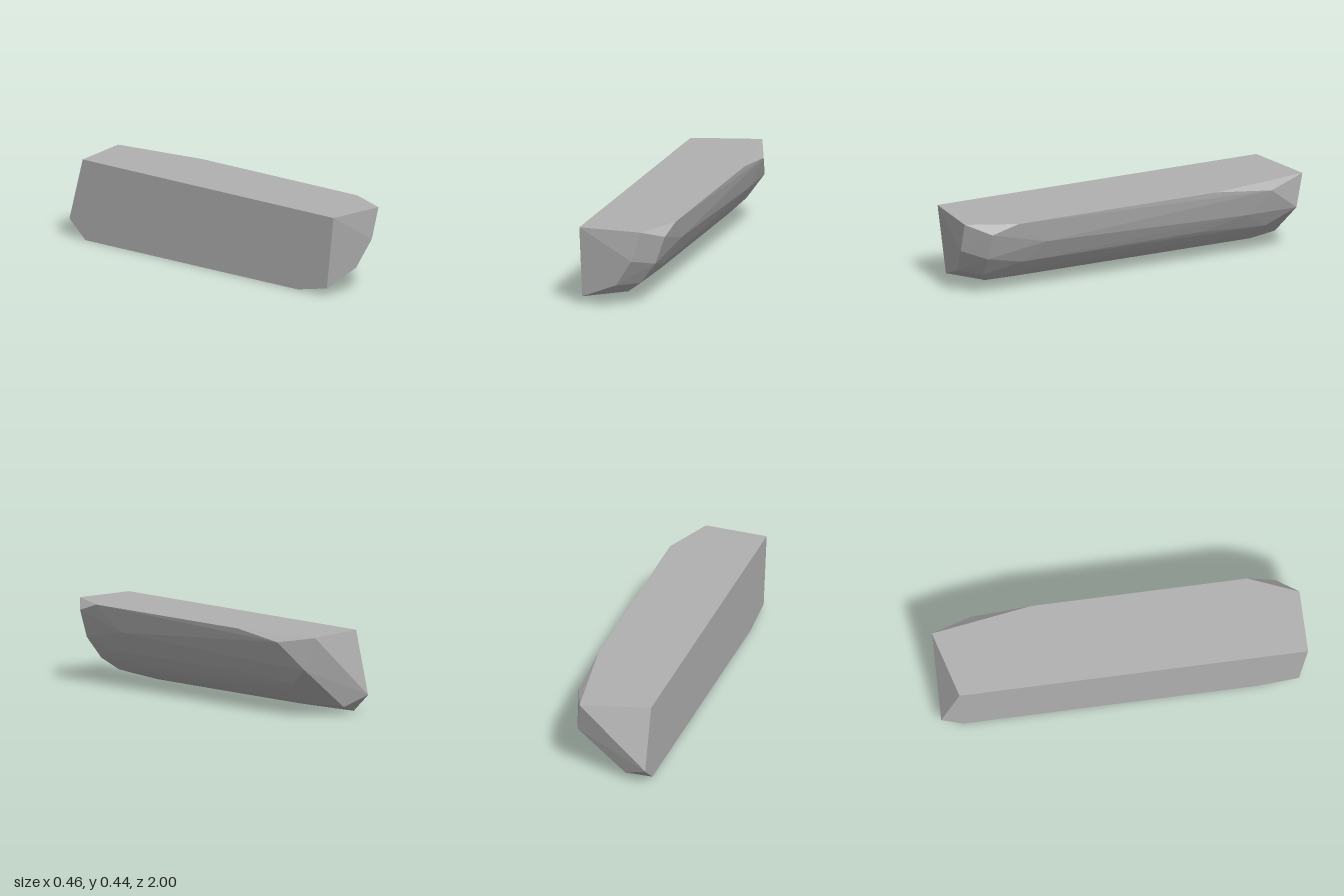
import * as THREE from 'three';
import { ConvexGeometry } from 'three/addons/geometries/ConvexGeometry.js';

// Quarter-round chunk: flat top and inner side, rounded outer side, chipped ends
const X = -0.23, TOP = 0.445, R = 0.459;
// Point on the rounded side at height y
const arc = (y, z) => [X + Math.sqrt(R * R - (0.46 - y) ** 2), y, z];

export function createModel() {
  const group = new THREE.Group();
  const stone = new THREE.MeshStandardMaterial({ color: 0xb0b0b0 });

  const frontFace = [
    [X, TOP, 1], [0.117, TOP, 1], [0.066, 0.277, 1], [-0.03, 0.13, 0.975], [X, 0.045, 0.95],
  ];
  const frontBevel = [
    [0.217, 0.398, 0.88], [0.165, 0.245, 0.885], [0.075, 0.125, 0.87],
    [-0.01, 0.058, 0.82], [X, 0.002, 0.73],
  ];
  // Long facets of the rounded side
  const roundedSide = [
    [0.229, TOP, 0.73], [0.229, TOP, -0.45], arc(0.405, -0.78),
    arc(0.31, 0.55), arc(0.27, -0.65), arc(0.19, 0.67), arc(0.2, -0.4),
    arc(0.17, -0.79), arc(0.12, 0.55), arc(0.12, -0.63), arc(0.08, 0.5),
    arc(0.047, -0.77), arc(0.022, 0.6), arc(0.022, -0.6),
    arc(0.006, 0.25), arc(0.006, -0.1),
  ];
  const backEnd = [
    [0.145, TOP, -1], [X, TOP, -0.9], [X, 0.1, -1],
    [0.175, 0.265, -0.95], [-0.1, 0.04, -0.95], [X, 0, -0.88],
  ];

  const points = [...frontFace, ...frontBevel, ...roundedSide, ...backEnd]
    .map((p) => new THREE.Vector3(...p));
  const chunk = new THREE.Mesh(new ConvexGeometry(points), stone);
  stone.name = 'grey stone';
  chunk.name = 'quarterRoundChunk';
  group.add(chunk);
  return group;
}
